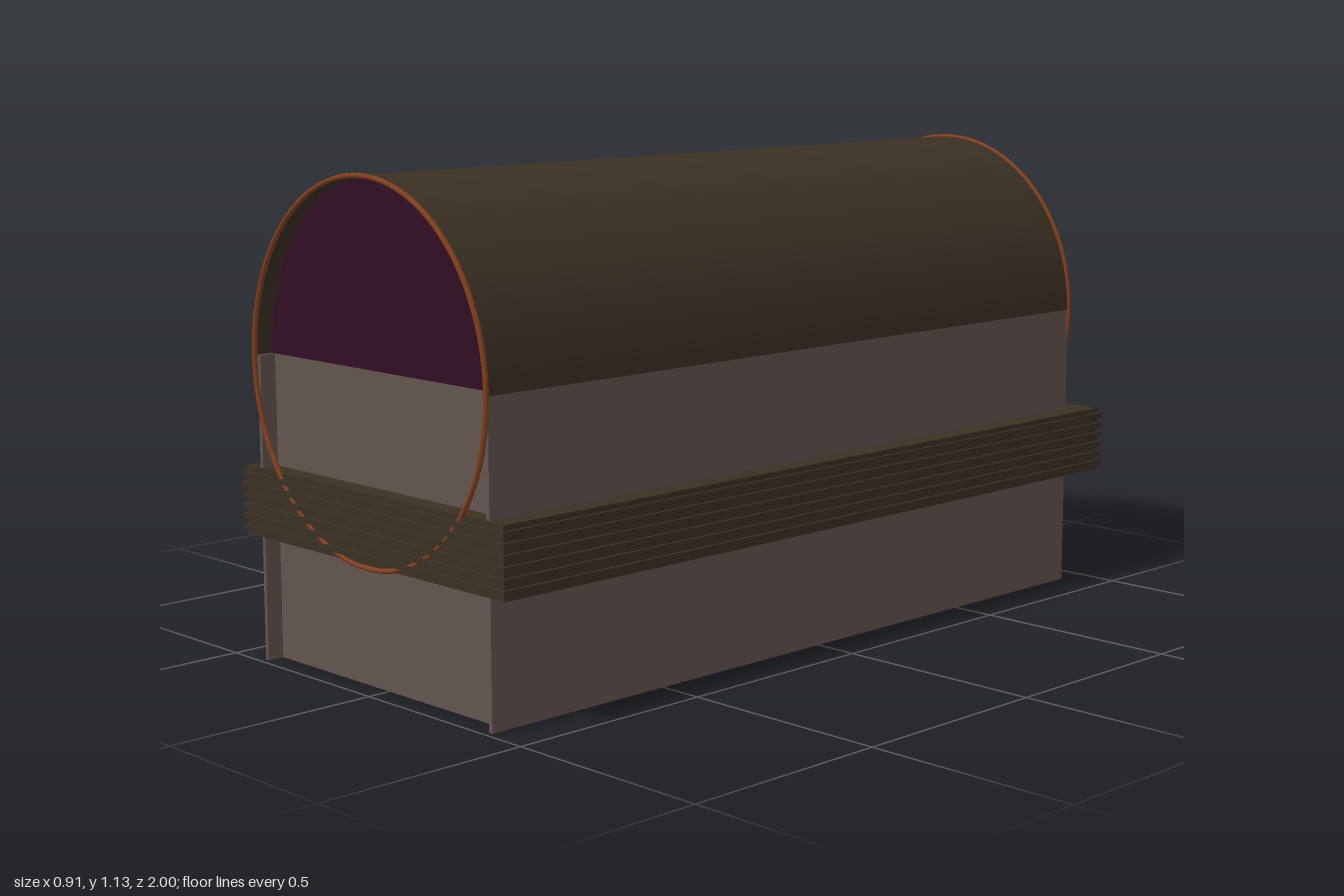
import * as THREE from 'three';

export function createModel() {
  const model = new THREE.Group();
  const mat = (name, color, side = THREE.FrontSide) => {
    const m = new THREE.MeshStandardMaterial({ color, side });
    m.name = name;
    return m;
  };
  const olive = mat('dark olive', 0x3b3023);
  const oliveShell = mat('dark olive shell', 0x3b3023, THREE.DoubleSide);
  const taupe = mat('taupe', 0x63544f);
  const plum = mat('plum', 0x300f24);
  const rust = mat('rust', 0x80401f);

  const add = (name, geometry, material, x = 0, y = 0, z = 0) => {
    const mesh = new THREE.Mesh(geometry, material);
    mesh.name = name;
    mesh.position.set(x, y, z);
    model.add(mesh);
    return mesh;
  };

  // Main dimensions
  const cx = -0.004, eaves = 0.7, rx = 0.4, ry = 0.42;
  const back = -0.925, front = 0.985, length = front - back, cz = (front + back) / 2;
  const recess = 0.04, wall = 0.01;

  // Long side walls
  for (const s of [-1, 1]) {
    add(s > 0 ? 'leftWall' : 'rightWall', new THREE.BoxGeometry(wall, eaves, length), taupe,
      cx + s * (rx - wall / 2 - 0.002), eaves / 2, cz);
  }

  // Arched roof, an open half shell
  const roof = new THREE.CylinderGeometry(1, 1, length, 64, 1, true, -Math.PI / 2, Math.PI);
  roof.rotateX(-Math.PI / 2);
  roof.scale(rx, ry, 1);
  roof.computeVertexNormals();
  add('roof', roof, oliveShell, cx, eaves, cz);

  // Recessed end walls, arched panels above them, and rings around the openings
  const arch = new THREE.Shape();
  arch.absellipse(0, 0, rx - 0.002, ry - 0.002, 0, Math.PI, false);
  const archGeometry = new THREE.ExtrudeGeometry(arch, { depth: wall, bevelEnabled: false, curveSegments: 48 });
  archGeometry.translate(0, 0, -wall / 2);
  const ring = new THREE.TorusGeometry(1, 0.014, 8, 96);
  ring.scale(rx, ry, 0.45);
  for (const [end, z, s] of [['front', front, 1], ['back', back, -1]]) {
    const panelZ = z - s * (recess + wall / 2);
    add(end + 'Wall', new THREE.BoxGeometry(2 * rx - 0.02, eaves, wall), taupe, cx, eaves / 2, panelZ);
    add(end + 'ArchPanel', archGeometry, plum, cx, eaves, panelZ);
    add(end + 'Ring', ring, rust, cx, eaves, z + s * (s > 0 ? 0.006 : 0));
  }

  // Ribbed band: stacked rectangular frames, alternately narrow and wide
  const rect = (path, x, z) => path.moveTo(-x, -z).lineTo(x, -z).lineTo(x, z).lineTo(-x, z).closePath();
  const layers = 13, bottom = 0.287, layerHeight = 0.158 / layers;
  for (let i = 0; i < layers; i++) {
    const inset = i % 2 ? 0 : 0.008;
    const frame = rect(new THREE.Shape(), 0.454 - inset, 1 - inset);
    frame.holes.push(rect(new THREE.Path(), 0.355, 0.9));
    const g = new THREE.ExtrudeGeometry(frame, { depth: layerHeight, bevelEnabled: false });
    g.rotateX(-Math.PI / 2);
    add('bandLayer' + (i + 1), g, olive, 0, bottom + i * layerHeight, 0);
  }

  return model;
}
